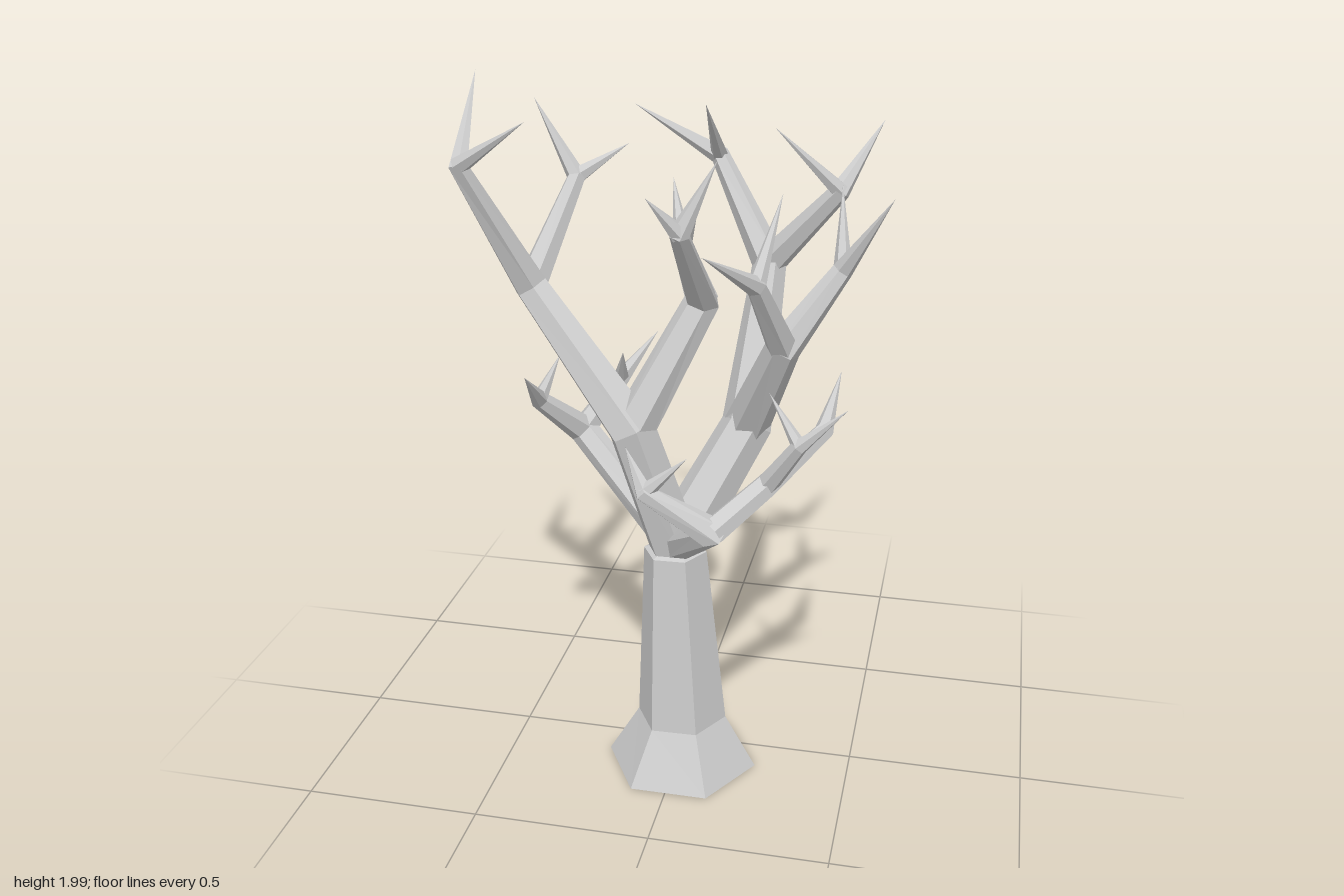
import * as THREE from 'three';

const SIDES = 6;
const material = new THREE.MeshStandardMaterial({ color: 0xcccccc, flatShading: true, side: THREE.DoubleSide });

// Six-sided tube through points [x, y, z, radius]; a zero radius ends in a spike.
function loft(path) {
  const pts = path.map(([x, y, z]) => new THREE.Vector3(x, y, z));
  const dirs = pts.slice(1).map((p, i) => p.clone().sub(pts[i]).normalize());
  const u = new THREE.Vector3(1, 0, 0);
  const rings = pts.map((p, i) => {
    const before = dirs[Math.max(i - 1, 0)], after = dirs[Math.min(i, dirs.length - 1)];
    const t = before.clone().add(after).normalize();
    u.addScaledVector(t, -u.dot(t)).normalize();
    const v = t.clone().cross(u);
    return Array.from({ length: SIDES }, (_, k) => {
      const a = (k / SIDES) * Math.PI * 2, r = path[i][3];
      return p.clone().addScaledVector(u, r * Math.cos(a)).addScaledVector(v, r * Math.sin(a));
    });
  });
  const tris = [];
  for (let i = 0; i + 1 < rings.length; i++) {
    for (let k = 0; k < SIDES; k++) {
      const n = (k + 1) % SIDES, [lo, hi] = [rings[i], rings[i + 1]];
      tris.push(lo[k], lo[n], hi[k]);
      if (path[i + 1][3] > 0) tris.push(lo[n], hi[n], hi[k]);
    }
  }
  const geometry = new THREE.BufferGeometry().setFromPoints(tris);
  geometry.computeVertexNormals();
  return geometry;
}

// Branch nodes: at = [x, y, z, radius], then the nodes that grow from it.
const node = (at, ...children) => ({ at, children });
const fork = (at, ...tips) => node(at, ...tips.map((t) => node([...t, 0])));

const limbs = {
  leftLimb: node([-0.11, 1.08, 0.18, 0.068],
    node([-0.41, 1.43, 0.08, 0.048],
      fork([-0.54, 1.78, 0.23, 0.028], [-0.55, 1.99, 0.04], [-0.34, 1.91, 0.29]),
      fork([-0.33, 1.69, -0.11, 0.028], [-0.46, 1.89, -0.16], [-0.2, 1.77, -0.19])),
    node([0.06, 1.42, 0.08, 0.048],
      fork([0.05, 1.66, 0.32, 0.028], [0.14, 1.84, 0.3], [-0.02, 1.76, 0.38]),
      fork([-0.03, 1.52, -0.09, 0.028], [-0.08, 1.68, -0.2], [0.03, 1.67, -0.03]))),
  rearLimb: node([0.16, 1.02, -0.06, 0.072],
    node([0.18, 1.43, -0.28, 0.05],
      fork([0.01, 1.7, -0.41, 0.028], [-0.25, 1.83, -0.45], [0.01, 1.88, -0.2]),
      fork([0.38, 1.66, -0.21, 0.028], [0.48, 1.83, -0.36], [0.21, 1.84, -0.13])),
    node([0.28, 1.31, 0.1, 0.048],
      fork([0.42, 1.51, 0.03, 0.028], [0.55, 1.72, 0.1], [0.4, 1.71, -0.08]),
      fork([0.23, 1.52, 0.25, 0.028], [0.13, 1.64, 0.44], [0.27, 1.72, 0.1]))),
  sideLimb: node([-0.32, 0.96, -0.07, 0.042],
    fork([-0.41, 1.09, 0.05, 0.026], [-0.4, 1.21, 0.2], [-0.36, 1.21, 0]),
    fork([-0.23, 1.09, -0.17, 0.026], [-0.14, 1.21, -0.26], [-0.2, 1.2, -0.08])),
  frontLimb: node([0.15, 0.9, 0.39, 0.042],
    fork([-0.02, 1.01, 0.42, 0.026], [-0.08, 1.11, 0.37], [0.09, 1.11, 0.41]),
    node([0.27, 0.99, 0.27, 0.034],
      fork([0.4, 1.1, 0.13, 0.026], [0.42, 1.2, -0.06]),
      fork([0.36, 1.13, 0.32, 0.022], [0.48, 1.24, 0.325], [0.27, 1.24, 0.25]))),
};

export function createModel() {
  const tree = new THREE.Group();
  tree.name = 'bareTree';
  const add = (parent, name, path) => {
    const mesh = new THREE.Mesh(loft(path), material);
    mesh.name = name;
    parent.add(mesh);
  };

  // Flared trunk, open underneath
  add(tree, 'trunk', [[0.01, 0, 0.105, 0.22], [0.01, 0.155, 0.104, 0.13], [-0.01, 0.69, 0.1, 0.09], [-0.01, 0.73, 0.1, 0]]);

  // The first child continues each tube; the others start new tubes at the fork.
  function grow(group, start, first) {
    const path = [start], forks = [];
    for (let n = first; n; n = n.children[0]) {
      path.push(n.at);
      forks.push(n);
    }
    add(group, path.length > 3 ? 'branch' : 'twig', path);
    for (const n of forks) {
      for (const child of n.children.slice(1)) {
        const [x, y, z, r] = n.at;
        grow(group, [x, y, z, r * 0.9], child);
      }
    }
  }

  // Limbs spreading from the crown of the trunk
  for (const [name, limb] of Object.entries(limbs)) {
    const group = new THREE.Group();
    group.name = name;
    grow(group, [-0.01, 0.7, 0.1, limb.at[3] * 1.1], limb);
    tree.add(group);
  }
  return tree;
}
